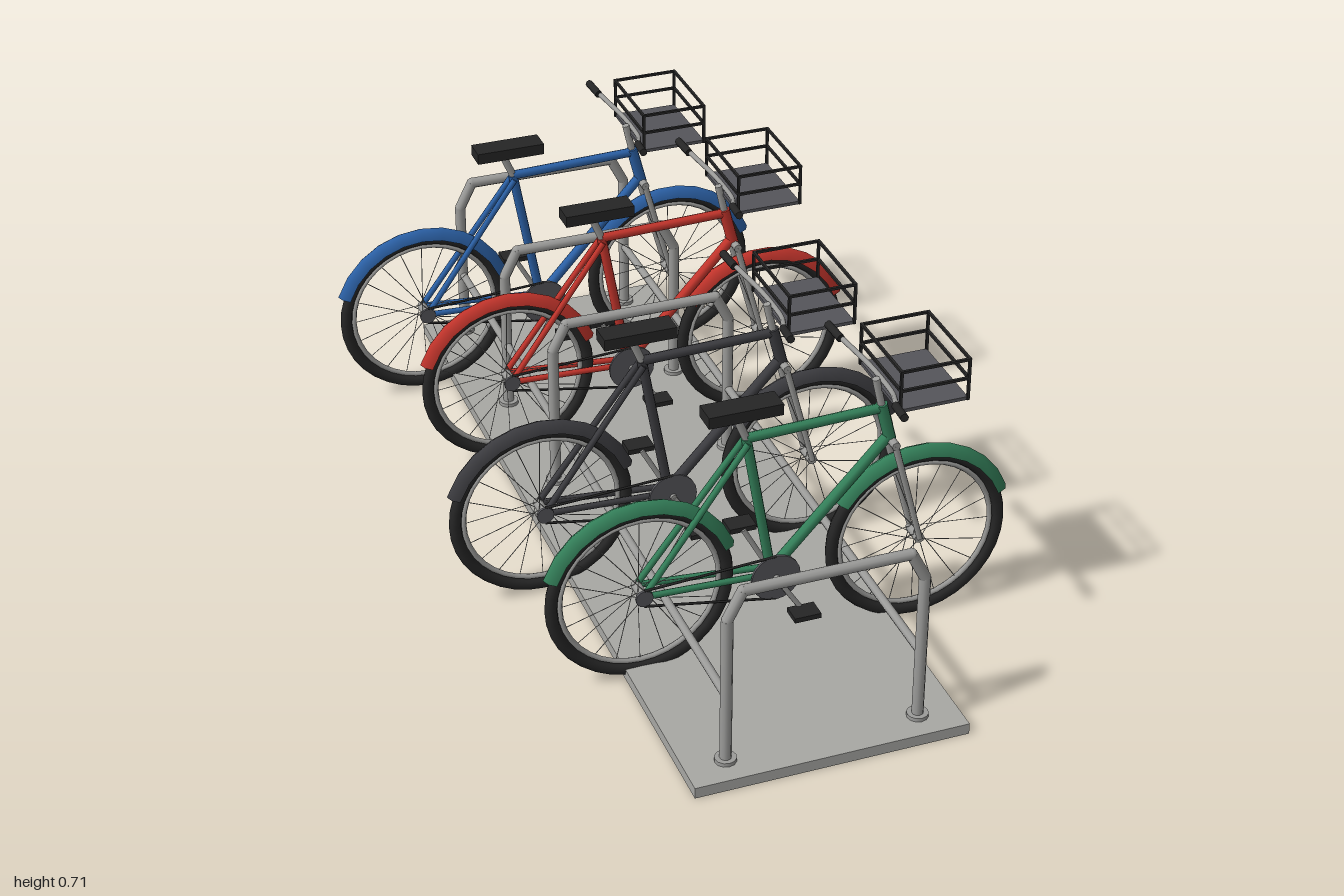
import * as THREE from 'three';

const mat = (name, color, side = THREE.FrontSide) => {
  const m = new THREE.MeshStandardMaterial({ color, side });
  m.name = name;
  return m;
};
const V = (x, y, z = 0) => new THREE.Vector3(x, y, z);

function add(parent, name, geometry, material, x = 0, y = 0, z = 0) {
  const mesh = new THREE.Mesh(geometry, material);
  mesh.name = name;
  mesh.position.set(x, y, z);
  parent.add(mesh);
  return mesh;
}

// Straight round bar between two points
function bar(parent, name, a, b, r, material, sides = 8, rEnd = r) {
  const d = b.clone().sub(a);
  const mesh = add(parent, name, new THREE.CylinderGeometry(rEnd, r, d.length(), sides), material);
  mesh.position.copy(a).add(b).multiplyScalar(0.5);
  mesh.quaternion.setFromUnitVectors(V(0, 1), d.normalize());
  return mesh;
}

// Bars through a list of points, with balls at the inner joints
function barPath(parent, name, pts, r, material, sides = 8) {
  for (let i = 0; i < pts.length - 1; i++) {
    bar(parent, name, pts[i], pts[i + 1], r, material, sides);
    if (i > 0) add(parent, name + 'Joint', new THREE.SphereGeometry(r, sides, 6), material, ...pts[i].toArray());
  }
}

function disc(parent, name, r, depth, sides, material, x, y, z) {
  add(parent, name, new THREE.CylinderGeometry(r, r, depth, sides).rotateX(Math.PI / 2), material, x, y, z);
}

export function createModel() {
  const model = new THREE.Group();
  model.name = 'bicycleRack';

  const concrete = mat('concrete', 0xa8a8a4);
  const steel = mat('steel', 0x9c9c9a);
  const rubber = mat('rubber', 0x262626);
  const darkGrey = mat('darkGrey', 0x55555a);
  const paints = {
    green: mat('greenPaint', 0x34805a, THREE.DoubleSide),
    black: mat('blackPaint', 0x3c3c40, THREE.DoubleSide),
    red: mat('redPaint', 0xc4352c, THREE.DoubleSide),
    blue: mat('bluePaint', 0x2c62a8, THREE.DoubleSide),
  };

  // Ground slab
  add(model, 'slab', new THREE.BoxGeometry(0.62, 0.026, 2), concrete, 0, 0.013, 0);

  // Hoops with floor flanges, joined by two long rails
  const rack = new THREE.Group();
  rack.name = 'rack';
  model.add(rack);
  for (const z of [0.935, -0.187, -0.56, -0.935]) {
    barPath(rack, 'hoop', [V(-0.218, 0.02, z), V(-0.218, 0.385, z), V(-0.185, 0.45, z),
      V(0.185, 0.45, z), V(0.218, 0.385, z), V(0.218, 0.02, z)], 0.013, steel, 10);
    for (const x of [-0.218, 0.218])
      add(rack, 'flange', new THREE.CylinderGeometry(0.024, 0.024, 0.01, 12), steel, x, 0.03, z);
  }
  for (const x of [-0.218, 0.218])
    bar(rack, 'rail', V(x, 0.193, -0.935), V(x, 0.193, 0.935), 0.01, steel);

  const HUB = 0.218;

  function wheel(bike, name, x, paint, backAngle, frontAngle) {
    const g = new THREE.Group();
    g.name = name;
    g.position.set(x, HUB, 0);
    bike.add(g);
    add(g, 'tyre', new THREE.TorusGeometry(0.2, 0.0145, 8, 36), rubber);
    add(g, 'rim', new THREE.TorusGeometry(0.181, 0.0065, 6, 36), steel);
    bar(g, 'hub', V(0, 0, -0.026), V(0, 0, 0.026), 0.012, steel);
    // Spokes lean from alternate hub flanges to the rim
    for (let i = 0; i < 20; i++) {
      const a = i * Math.PI / 10, b = a + (i % 4 < 2 ? 0.9 : -0.9), z = i % 2 ? 0.014 : -0.014;
      bar(g, 'spoke', V(0.011 * Math.cos(b), 0.011 * Math.sin(b), z),
        V(0.18 * Math.cos(a), 0.18 * Math.sin(a)), 0.001, steel, 4);
    }
    // Mudguard shell swept around the axle
    const profile = [[0.203, -0.018], [0.222, -0.014], [0.23, 0], [0.222, 0.014], [0.203, 0.018]]
      .map(p => new THREE.Vector2(...p));
    const shell = new THREE.LatheGeometry(profile, 10, backAngle, frontAngle - backAngle);
    add(g, 'mudguard', shell.rotateX(-Math.PI / 2), paint);
  }

  function bicycle(name, paint, x, z) {
    const bike = new THREE.Group();
    bike.name = name;
    bike.position.set(x, 0, z);
    model.add(bike);
    const rear = -0.272, front = 0.372;
    wheel(bike, 'rearWheel', rear, paint, -1.22, 1.22);
    wheel(bike, 'frontWheel', front, paint, -1.0, 1.22);

    // Frame
    const crank = V(0.03, 0.2), seat = V(-0.032, 0.553), headTop = V(0.277, 0.572), headLow = V(0.302, 0.475);
    bar(bike, 'seatTube', crank, seat, 0.0115, paint);
    bar(bike, 'topTube', seat, V(0.283, 0.562), 0.0115, paint);
    bar(bike, 'downTube', crank, V(0.298, 0.49), 0.0125, paint);
    bar(bike, 'headTube', headLow, headTop, 0.014, paint);
    bar(bike, 'bottomBracket', V(0.03, 0.2, -0.024), V(0.03, 0.2, 0.024), 0.016, paint);
    for (const s of [-1, 1]) {
      bar(bike, 'seatStay', V(rear, HUB, s * 0.024), V(-0.032, 0.545, s * 0.012), 0.0075, paint);
      bar(bike, 'chainStay', V(rear, HUB, s * 0.024), V(0.03, 0.2, s * 0.014), 0.0075, paint);
      bar(bike, 'forkLeg', V(front, HUB, s * 0.026), V(0.302, 0.477, s * 0.026), 0.0065, steel, 8, 0.008);
    }
    bar(bike, 'forkCrown', V(0.302, 0.477, -0.033), V(0.302, 0.477, 0.033), 0.01, steel);

    // Saddle
    bar(bike, 'seatPost', seat, V(-0.058, 0.615), 0.009, steel);
    add(bike, 'saddle', new THREE.BoxGeometry(0.168, 0.027, 0.056), rubber, -0.043, 0.625, 0);

    // Handlebar sweeps back and up to the grips
    bar(bike, 'stem', headTop, V(0.262, 0.638), 0.009, steel);
    const sweep = new THREE.CatmullRomCurve3([V(0.238, 0.663, -0.19), V(0.25, 0.655, -0.13), V(0.272, 0.637, -0.06),
      V(0.272, 0.637, 0.06), V(0.25, 0.655, 0.13), V(0.238, 0.663, 0.19)]);
    add(bike, 'handlebar', new THREE.TubeGeometry(sweep, 20, 0.006, 8), steel);
    for (const s of [-1, 1])
      bar(bike, 'grip', V(0.242, 0.66, s * 0.145), V(0.236, 0.665, s * 0.203), 0.0095, rubber);

    // Wire basket with a solid floor
    const cx = 0.35, hx = 0.078, hz = 0.105;
    add(bike, 'basketFloor', new THREE.BoxGeometry(hx * 2, 0.008, hz * 2), darkGrey, cx, 0.615, 0);
    for (const y of [0.665, 0.711])
      for (const s of [-1, 1]) {
        add(bike, 'basketRail', new THREE.BoxGeometry(hx * 2 + 0.006, 0.006, 0.006), rubber, cx, y, s * hz);
        add(bike, 'basketRail', new THREE.BoxGeometry(0.006, 0.006, hz * 2), rubber, cx + s * hx, y, 0);
      }
    for (const sx of [-1, 1])
      for (const sz of [-1, 1])
        add(bike, 'basketPost', new THREE.BoxGeometry(0.006, 0.1, 0.006), rubber, cx + sx * hx, 0.662, sz * hz);

    // Drivetrain
    disc(bike, 'chainring', 0.057, 0.006, 20, darkGrey, 0.03, 0.2, 0.03);
    disc(bike, 'sprocket', 0.02, 0.006, 12, darkGrey, rear, HUB, 0.03);
    for (const s of [-1, 1])
      bar(bike, 'chain', V(rear, HUB + s * 0.02, 0.031), V(0.03, 0.2 + s * 0.055, 0.031), 0.003, rubber, 6);
    bar(bike, 'crankAxle', V(0.03, 0.2, -0.04), V(0.03, 0.2, 0.04), 0.008, steel);
    for (const s of [-1, 1]) {
      const px = 0.033 + s * 0.052, py = 0.2025 - s * 0.0875;
      bar(bike, 'crankArm', V(0.03, 0.2, s * 0.038), V(px, py, s * 0.042), 0.006, steel);
      add(bike, 'pedal', new THREE.BoxGeometry(0.062, 0.012, 0.046), rubber, px, py, s * 0.064);
    }
  }

  bicycle('greenBicycle', paints.green, 0, 0.56);
  bicycle('blackBicycle', paints.black, -0.1, 0.187);
  bicycle('redBicycle', paints.red, 0, -0.373);
  bicycle('blueBicycle', paints.blue, -0.1, -0.75);
  return model;
}
